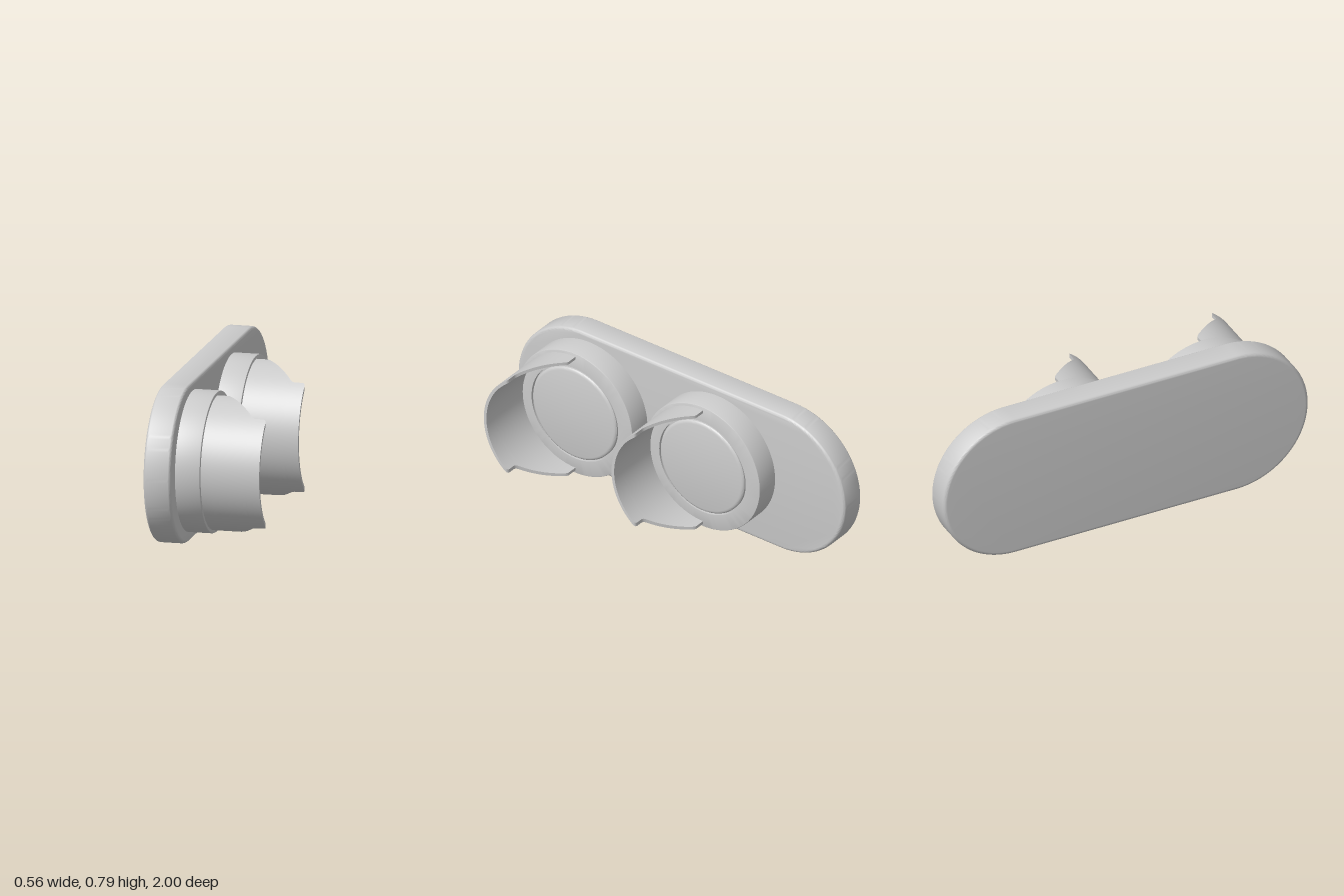
import * as THREE from 'three';
import { toCreasedNormals } from 'three/addons/utils/BufferGeometryUtils.js';

const MID_Y = 0.393;
const mat = new THREE.MeshStandardMaterial({ color: 0xcccccc });

function part(name, geometry, crease = 0.5) {
  const mesh = new THREE.Mesh(toCreasedNormals(geometry, crease), mat);
  mesh.name = name;
  return mesh;
}

// Stadium-shaped plate with rounded rims, thickness along x
function backPlate() {
  const bevel = 0.018, r = 0.393 - bevel, half = 0.607;
  const shape = new THREE.Shape();
  shape.absarc(half, 0, r, -Math.PI / 2, Math.PI / 2);
  shape.absarc(-half, 0, r, Math.PI / 2, Math.PI * 1.5);
  shape.closePath();
  const g = new THREE.ExtrudeGeometry(shape, {
    depth: 0.138 - 2 * bevel, bevelThickness: bevel, bevelSize: bevel,
    bevelSegments: 5, curveSegments: 48,
  });
  g.rotateY(Math.PI / 2);
  g.translate(-0.28 + bevel, MID_Y, 0);
  return part('backPlate', g);
}

// Turned part around the x axis; profile is [radius, x]
function turned(name, profile) {
  const g = new THREE.LatheGeometry(profile.map(([r, x]) => new THREE.Vector2(r, x)), 96);
  g.rotateZ(-Math.PI / 2);
  return part(name, g);
}

// Partial tube whose free edge steps back towards the front tip
function visor() {
  const RO = 0.334, RI = 0.318, N = 48;
  // [x, distance of the free edge from the lamp axis]
  const edge = [[-0.025, -0.004], [0.038, -0.004], [0.046, 0], [0.055, 0.008]];
  for (let i = 1; i <= 10; i++) edge.push([0.055 + 0.0145 * i, 0.008 + 0.0168 * i]);
  edge.push([0.208, 0.183], [0.215, 0.188], [0.224, 0.19], [0.264, 0.19],
    [0.27, 0.192], [0.275, 0.197], [0.278, 0.208]);
  const pos = [], idx = [], ring = 2 * (N + 1);
  for (const [x, d] of edge) {
    for (let k = 0; k < ring; k++) {
      const outer = k <= N;
      const r = outer ? RO : RI;
      const s = outer ? k / N : (ring - 1 - k) / N;
      const t = Math.acos(d / r) * (2 * s - 1);
      pos.push(x, r * Math.sin(t), r * Math.cos(t));
    }
  }
  for (let i = 0; i < edge.length - 1; i++) {
    for (let k = 0; k < ring; k++) {
      const a = i * ring + k, b = i * ring + (k + 1) % ring;
      idx.push(a, a + ring, b, b, a + ring, b + ring);
    }
  }
  // Front tip and hidden rear end
  const last = (edge.length - 1) * ring;
  for (let k = 0; k < N; k++) {
    const o = k, o1 = k + 1, n = ring - 1 - k, n1 = n - 1;
    idx.push(last + n, last + o1, last + o, last + n, last + n1, last + o1);
    idx.push(n, o, o1, n, o1, n1);
  }
  const g = new THREE.BufferGeometry();
  g.setAttribute('position', new THREE.Float32BufferAttribute(pos, 3));
  g.setIndex(idx);
  return part('visor', g);
}

function lamp(name, z) {
  const group = new THREE.Group();
  group.name = name;
  group.add(
    turned('housing', [[0.35, -0.145], [0.35, -0.022], [0.3485, -0.0185], [0.345, -0.017],
      [0.264, -0.017], [0.264, -0.035], [0.2, -0.035]]),
    turned('lens', [[0.256, -0.035], [0.256, -0.019], [0.253, -0.015], [0.248, -0.012],
      [0.24, -0.01], [0, -0.01]]),
    visor(),
  );
  group.position.set(0, MID_Y + 0.002, z);
  return group;
}

export function createModel() {
  const model = new THREE.Group();
  model.name = 'signalLamp';
  model.add(backPlate(), lamp('frontLamp', 0.555), lamp('rearLamp', -0.225));
  return model;
}
